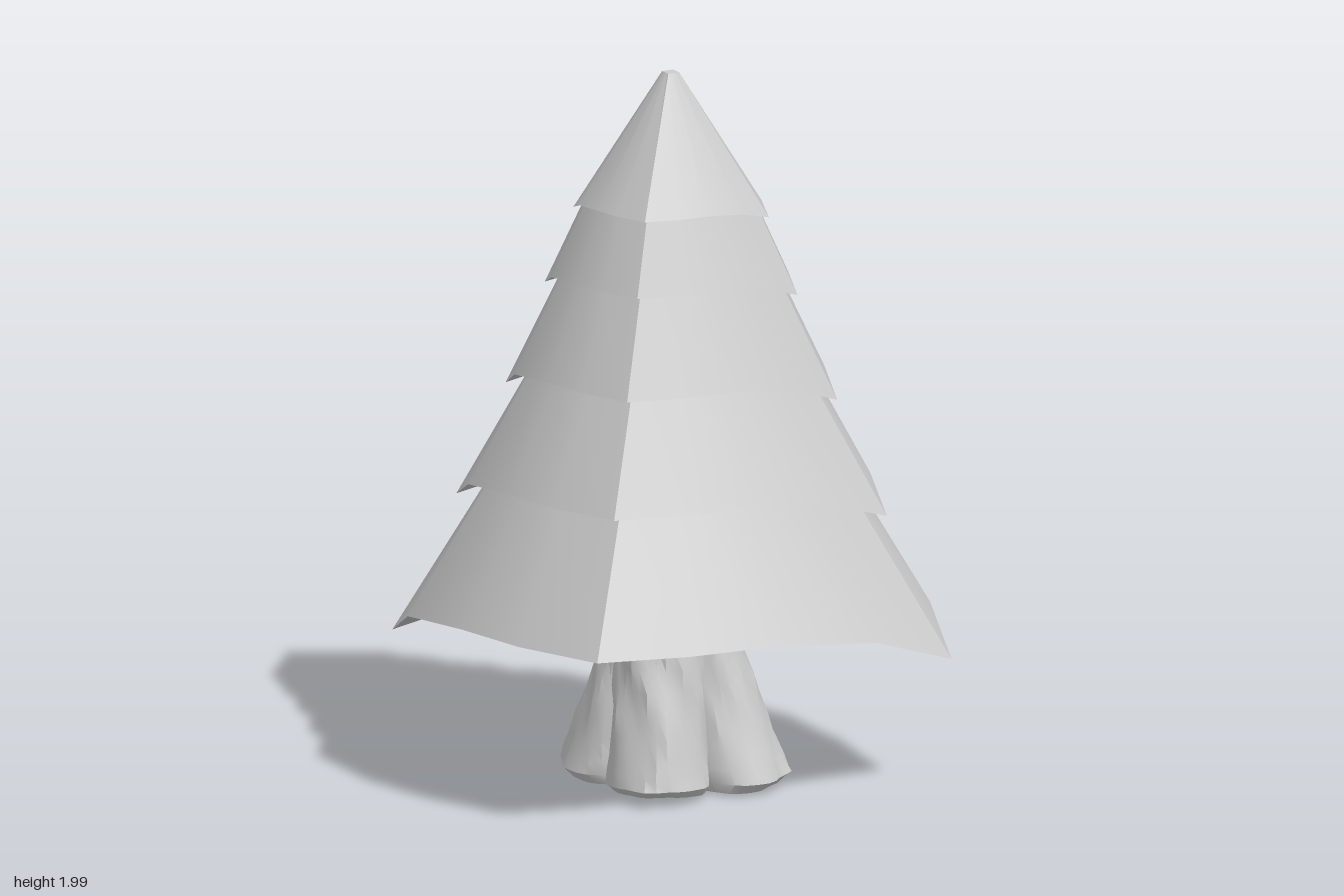
import * as THREE from 'three';
import { toCreasedNormals } from 'three/addons/utils/BufferGeometryUtils.js';

const material = new THREE.MeshStandardMaterial({ color: 0xcccccc, side: THREE.DoubleSide });

// Skin a list of rings (bottom to top), each an array of [x, y, z]
function loft(rings, closed) {
  const n = rings[0].length, index = [];
  for (let r = 0; r < rings.length - 1; r++) {
    for (let i = 0; i < (closed ? n : n - 1); i++) {
      const a = r * n + i, b = r * n + (i + 1) % n;
      index.push(a, a + n, b + n, a, b + n, b);
    }
  }
  const geo = new THREE.BufferGeometry();
  geo.setAttribute('position', new THREE.Float32BufferAttribute(rings.flat(2), 3));
  geo.setIndex(index);
  geo.computeVertexNormals();
  return geo;
}

function addMesh(parent, name, geo) {
  const mesh = new THREE.Mesh(geo, material);
  mesh.name = name;
  parent.add(mesh);
}

// Bulging square outline of the lowest tier: corner, quarter, middle, quarter on each side
const outline = [
  [-0.58, -0.515], [-0.32, -0.6], [0, -0.607], [0.27, -0.57],
  [0.515, -0.525], [0.6, -0.28], [0.668, 0.01], [0.655, 0.28],
  [0.59, 0.513], [0.31, 0.592], [0, 0.605], [-0.27, 0.582],
  [-0.525, 0.517], [-0.625, 0.26], [-0.668, 0.02], [-0.66, -0.29],
];
// Two opposite corners hang down, the other two stay level
const droop = [1, 0.26, 0, 0, 0, 0, 0, 0.26];

// Scale, height at side middles, corner sag
const tiers = [
  [1, 0.518, 0.135], [0.77, 0.877, 0.1], [0.593, 1.178, 0.08],
  [0.452, 1.443, 0.055], [0.35, 1.64, 0.037],
];

const tierRing = ([s, y, sag], inset = 1, lift = 0) =>
  outline.map(([x, z], i) => [x * s * inset, y + lift - sag * droop[i % 8], z * s * inset]);

// Small square at the very top
function tipRing() {
  const h = 0.017, corners = [[-h, -h], [h, -h], [h, h], [-h, h]];
  return outline.map((_, i) => {
    const a = corners[i >> 2], b = corners[((i >> 2) + 1) % 4], t = (i % 4) / 4;
    return [a[0] + (b[0] - a[0]) * t, 2, a[1] + (b[1] - a[1]) * t];
  });
}

function buildTier(tier, next, number) {
  const group = new THREE.Group();
  group.name = 'branchTier' + number;
  const low = tierRing(tier);
  const high = next ? tierRing(next, 0.86, 0.04) : tipRing();
  // Four smooth sides meeting in sharp corners
  for (let s = 0; s < 4; s++) {
    const side = (ring) => [0, 1, 2, 3, 4].map((k) => ring[(s * 4 + k) % 16]);
    addMesh(group, 'branchSide', loft([side(low), side(high)], false));
  }
  // Hollow underside
  const centre = low.map(() => [0, tier[1] + 0.17 * tier[0], 0]);
  addMesh(group, 'underside', loft([centre, low], true));
  if (!next) addMesh(group, 'tip', loft([high, high.map(() => [0, 2, 0])], true));
  return group;
}

// Gnarled trunk: an oval shaft spreading into four rounded root lobes
function trunkRing(y, shrink = 1) {
  const n = 64, k = Math.pow(Math.min(1, Math.max(0, 1.08 * (1 - y / 0.56))), 1.2), ring = [];
  for (let i = 0; i < n; i++) {
    const t = (i / n) * Math.PI * 2, d = t + Math.PI / 4;
    const shaft = 1 / Math.hypot(Math.cos(d) / 0.215, Math.sin(d) / 0.15);
    const roots = 0.175 + 0.14 * Math.pow(Math.abs(Math.sin(2 * t)), 0.75);
    const bark = 0.006 * Math.sin(11 * t + 3 * Math.sin(9 * y)) + 0.004 * Math.sin(19 * t + 25 * y);
    const r = (shaft + (roots - shaft) * k + bark) * shrink;
    const sole = y < 0.1 ? 0.01 * (1 + Math.sin(3 * t + 1)) * (1 - y / 0.1) : 0;
    ring.push([r * Math.cos(t), y + sole, r * Math.sin(t) * (1 + 0.04 * k) + 0.02 * k]);
  }
  return ring;
}

function buildTrunk() {
  const rings = [trunkRing(0.02, 0), trunkRing(0.006, 0.7), trunkRing(0.012, 0.9)];
  for (const y of [0.04, 0.08, 0.13, 0.19, 0.25, 0.31, 0.37, 0.43, 0.49, 0.55, 0.62, 0.7]) rings.push(trunkRing(y));
  rings.push(trunkRing(0.7, 0));
  return toCreasedNormals(loft(rings, true), 0.6);
}

export function createModel() {
  const tree = new THREE.Group();
  tree.name = 'tree';
  tiers.forEach((tier, i) => tree.add(buildTier(tier, tiers[i + 1], i + 1)));
  addMesh(tree, 'trunk', buildTrunk());
  return tree;
}
